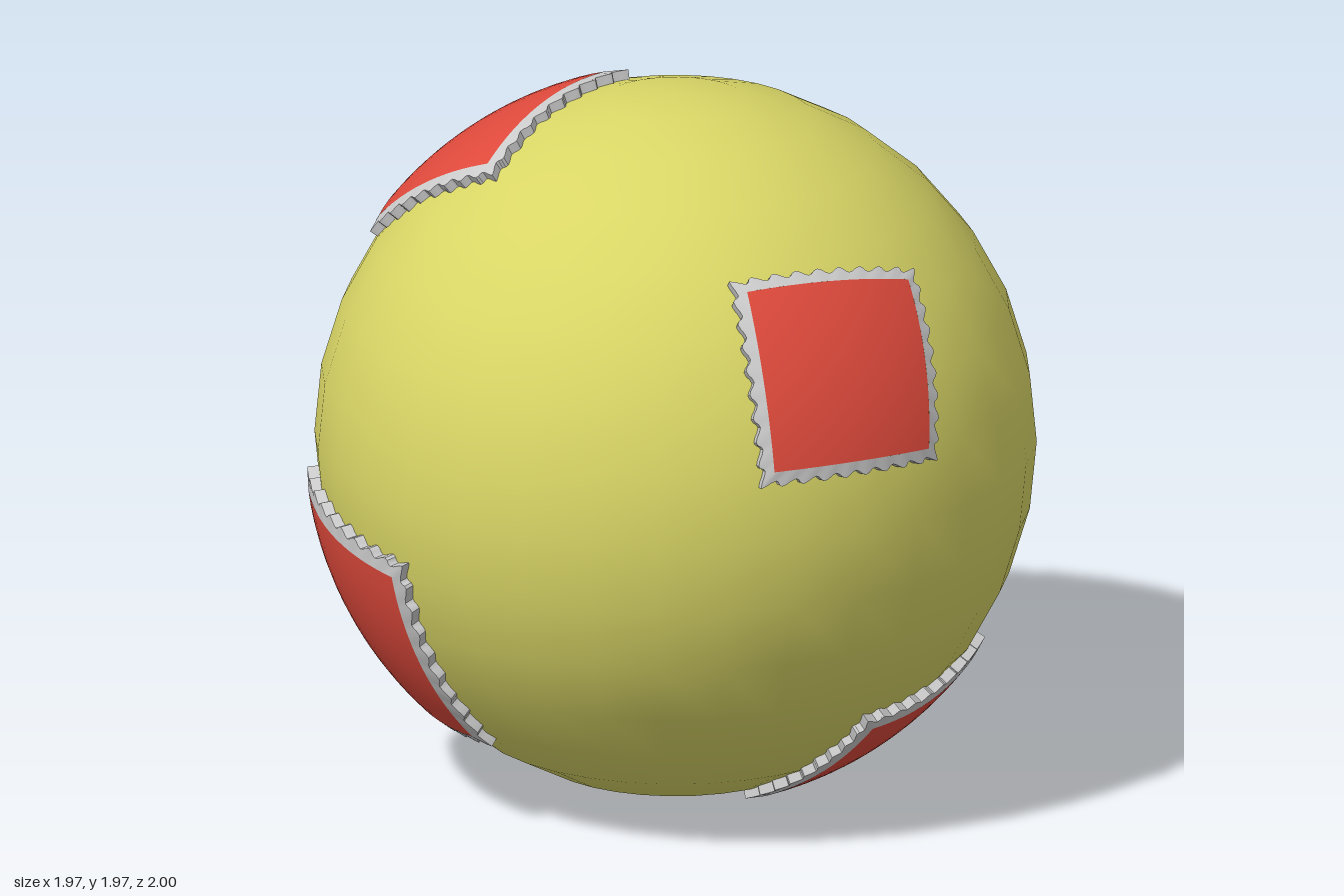
import * as THREE from 'three';
import { toCreasedNormals } from 'three/addons/utils/BufferGeometryUtils.js';

const BALL = 0.985, FACE = 1.012, RIM = 1.007, BASE = 0.965;
const yellow = new THREE.MeshStandardMaterial({ color: 0xd9d666 });
const red = new THREE.MeshStandardMaterial({ color: 0xe04a3c });
const grey = new THREE.MeshStandardMaterial({ color: 0xcccccc });

// Patch corners as outward directions, counter-clockwise seen from outside
const PATCHES = {
  frontPatch: [[-0.62, -0.66, 0.45], [-0.17, -0.71, 0.70], [-0.25, -0.20, 0.96], [-0.75, -0.13, 0.66]],
  leftPatch: [[0.78, 0.21, 0.60], [0.98, 0.20, 0.16], [0.80, 0.61, 0.02], [0.60, 0.66, 0.48]],
  topPatch: [[-0.70, 0.60, 0.41], [-0.29, 0.85, 0.47], [-0.31, 0.96, -0.09], [-0.78, 0.63, -0.10]],
  lowerPatch: [[0.38, -0.93, 0.10], [0.37, -0.86, -0.39], [0.74, -0.58, -0.37], [0.76, -0.66, 0.12]],
  backPatch: [[0.185, -0.21, -0.97], [-0.235, -0.21, -0.96], [-0.245, 0.20, -0.96], [0.18, 0.22, -0.97]],
};

// Point over the ball at patch coordinates u, v (-1..1) and the given radius
function onBall(corners, u, v, radius) {
  const weights = [(1 - u) * (1 - v), (1 + u) * (1 - v), (1 + u) * (1 + v), (1 - u) * (1 + v)];
  const p = new THREE.Vector3();
  corners.forEach((c, i) => p.addScaledVector(c, weights[i] / 4));
  return p.setLength(radius);
}

// Curved red panel
function panelGeometry(corners) {
  const geo = new THREE.PlaneGeometry(2, 2, 12, 12);
  const pos = geo.attributes.position, nor = geo.attributes.normal;
  for (let i = 0; i < pos.count; i++) {
    const p = onBall(corners, pos.getX(i), pos.getY(i), FACE);
    pos.setXYZ(i, p.x, p.y, p.z);
    p.normalize();
    nor.setXYZ(i, p.x, p.y, p.z);
  }
  return geo;
}

// Scalloped rim: inner edge, outer top edge and outer foot joined in loops
function rimGeometry(corners, bumps = 9, perBump = 6) {
  const side = bumps * perBump, count = side * 4;
  const positions = [], index = [];
  const starts = [[-1, -1], [1, -1], [1, 1], [-1, 1]];
  for (let i = 0; i < count; i++) {
    const k = Math.floor(i / side), t = (i % side) / side;
    const a = starts[k], b = starts[(k + 1) % 4];
    const u = a[0] + (b[0] - a[0]) * t, v = a[1] + (b[1] - a[1]) * t;
    const grow = 1.14 + 0.036 * Math.cos(2 * Math.PI * bumps * t);
    for (const [scale, radius] of [[1, FACE], [grow, RIM], [grow, BASE]]) {
      positions.push(...onBall(corners, u * scale, v * scale, radius).toArray());
    }
    const n = (i + 1) % count;
    for (let j = 0; j < 2; j++) {
      const p = i * 3 + j, q = n * 3 + j;
      index.push(p, p + 1, q, q, p + 1, q + 1);
    }
  }
  const geo = new THREE.BufferGeometry();
  geo.setAttribute('position', new THREE.Float32BufferAttribute(positions, 3));
  geo.setIndex(index);
  return toCreasedNormals(geo, 0.6);
}

function mesh(name, geometry, material) {
  const m = new THREE.Mesh(geometry, material);
  m.name = name;
  return m;
}

export function createModel() {
  const model = new THREE.Group();
  model.name = 'patchedBall';
  model.position.set(0, 0, 0);

  const body = new THREE.Group();
  body.name = 'body';
  body.position.set(0, 0.988, 0.01);
  body.add(mesh('ball', new THREE.SphereGeometry(BALL, 32, 16), yellow));

  // Five raised patches
  for (const [name, points] of Object.entries(PATCHES)) {
    const corners = points.map((p) => new THREE.Vector3(...p).normalize());
    const patch = new THREE.Group();
    patch.name = name;
    patch.add(mesh('panel', panelGeometry(corners), red));
    patch.add(mesh('scallopedRim', rimGeometry(corners), grey));
    body.add(patch);
  }
  model.add(body);
  return model;
}
